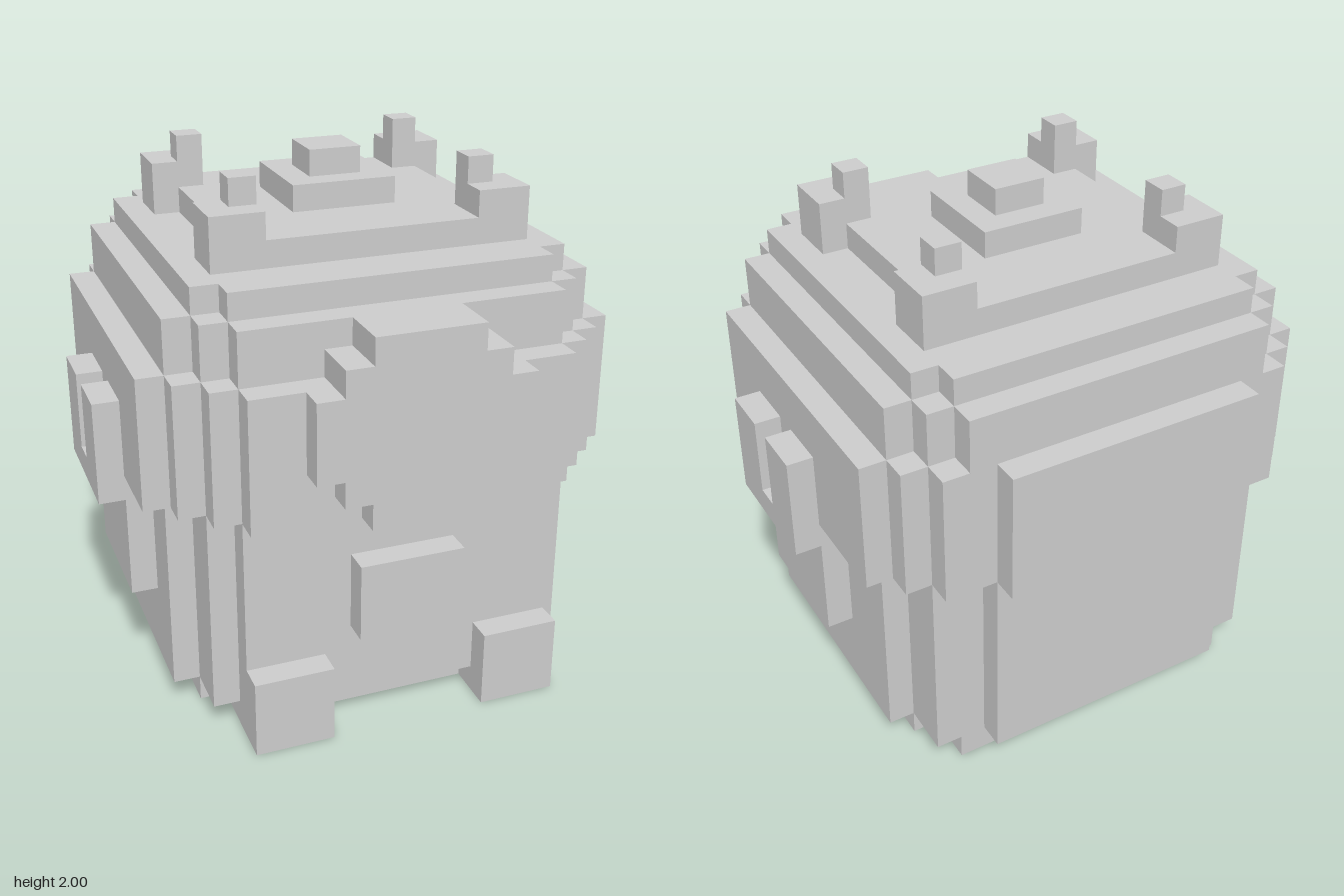
import * as THREE from 'three';

const material = new THREE.MeshStandardMaterial({ color: 0xcccccc, flatShading: true });

export function createModel() {
  const model = new THREE.Group();

  const add = (name, geometry) => {
    const mesh = new THREE.Mesh(geometry, material);
    mesh.name = name;
    model.add(mesh);
    return mesh;
  };

  // Block given by its limits on each axis
  const block = (name, x0, x1, y0, y1, z0, z1) =>
    add(name, new THREE.BoxGeometry(x1 - x0, y1 - y0, z1 - z0))
      .position.set((x0 + x1) / 2, (y0 + y1) / 2, (z0 + z1) / 2);

  // Pair of blocks mirrored in x
  const pair = (name, x0, x1, ...limits) => {
    block(name + 'Left', x0, x1, ...limits);
    block(name + 'Right', -x1, -x0, ...limits);
  };

  // Closed outline from the points of its +x half, mirrored
  const mirrored = (half) => new THREE.Shape([
    ...half.map(([x, y]) => new THREE.Vector2(x, y)),
    ...half.slice().reverse().map(([x, y]) => new THREE.Vector2(-x, y)),
  ]);

  // Layer with a stepped footprint: half outline as [x, z] from back to front
  const layer = (name, y0, y1, half) => {
    const shape = mirrored(half.map(([x, z]) => [x, -z]));
    const geometry = new THREE.ExtrudeGeometry(shape, { depth: y1 - y0, bevelEnabled: false });
    add(name, geometry.rotateX(-Math.PI / 2)).position.y = y0;
  };

  // Lower body
  layer('base', 0, 0.1, [[0.6, -0.75], [0.6, -0.55], [0.7, -0.55], [0.7, 0.45], [0.6, 0.45], [0.6, 0.65]]);
  layer('body', 0.1, 0.9, [
    [0.5, -0.85], [0.5, -0.75], [0.7, -0.75], [0.7, -0.55], [0.8, -0.55],
    [0.8, 0.45], [0.7, 0.45], [0.7, 0.65], [0.6, 0.65], [0.6, 0.75],
  ]);
  pair('foot', 0.3, 0.6, 0, 0.3, 0.65, 0.85);
  block('bellyPlate', -0.2, 0.2, 0.4, 0.7, 0.75, 0.85);

  // Head: wide band, then narrowing layers
  layer('headBand', 0.9, 1.4, [
    [0.5, -0.95], [0.5, -0.85], [0.7, -0.85], [0.7, -0.75], [0.8, -0.75], [0.8, -0.65], [0.9, -0.65],
    [0.9, 0.55], [0.8, 0.55], [0.8, 0.65], [0.7, 0.65], [0.7, 0.75], [0.6, 0.75], [0.6, 0.85],
  ]);
  layer('headUpper', 1.4, 1.6, [
    [0.6, -0.85], [0.6, -0.75], [0.7, -0.75], [0.7, -0.65], [0.8, -0.65],
    [0.8, 0.55], [0.7, 0.55], [0.7, 0.65], [0.6, 0.65], [0.6, 0.75],
  ]);
  layer('headTop', 1.6, 1.7, [
    [0.6, -0.75], [0.6, -0.65], [0.7, -0.65], [0.7, 0.55], [0.6, 0.55], [0.6, 0.65],
  ]);
  block('lid', -0.5, 0.5, 1.7, 1.8, -0.55, 0.45);
  block('knobBase', -0.2, 0.2, 1.8, 1.9, -0.25, 0.15);
  block('knobTip', -0.1, 0.1, 1.9, 2, -0.15, 0.05);

  // Round stepped plate on the front of the head
  const plate = mirrored([
    [0.2, 0.9], [0.2, 1], [0.3, 1], [0.3, 1.1], [0.4, 1.1], [0.4, 1.4], [0.3, 1.4], [0.3, 1.5], [0.2, 1.5], [0.2, 1.6],
  ]);
  add('facePlate', new THREE.ExtrudeGeometry(plate, { depth: 0.2, bevelEnabled: false })).position.z = 0.75;

  // Corner horns, each with a small tip on its inner corner
  pair('frontHorn', 0.4, 0.6, 1.7, 1.9, 0.25, 0.45);
  pair('frontHornTip', 0.4, 0.5, 1.9, 2, 0.25, 0.35);
  pair('backHorn', 0.4, 0.6, 1.7, 1.9, -0.55, -0.35);
  pair('backHornTip', 0.4, 0.5, 1.9, 2, -0.45, -0.35);

  // Side brackets: plate, ledge and two prongs
  pair('sidePlate', 0.8, 0.9, 0.4, 0.8, -0.25, 0.25);
  pair('sideLedge', 0.8, 1, 0.8, 0.9, -0.25, 0.25);
  pair('frontProng', 0.9, 1, 0.9, 1.2, 0.05, 0.25);
  pair('backProng', 0.9, 1, 0.9, 1.2, -0.25, -0.05);

  return model;
}
